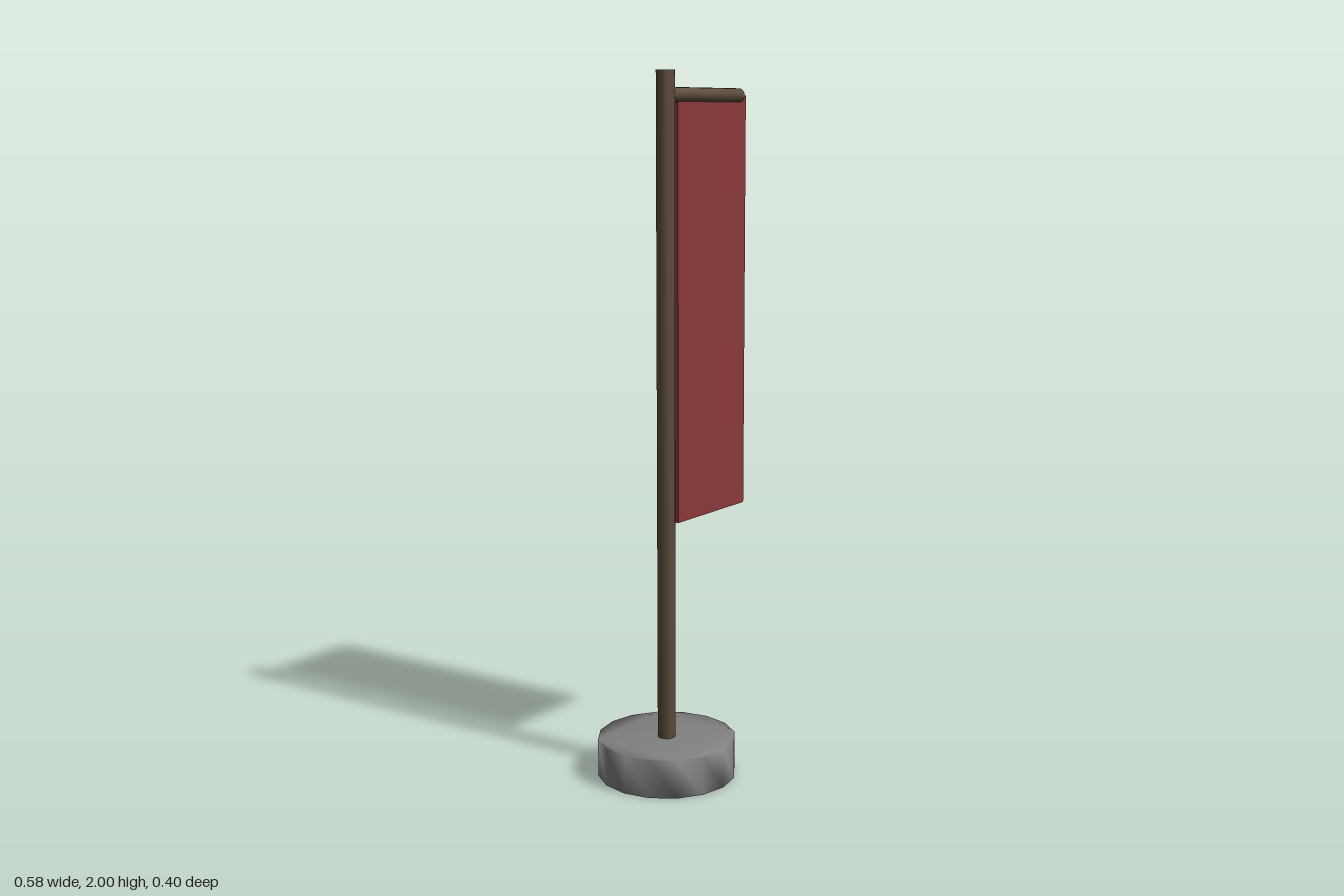
import * as THREE from 'three';
import { mergeVertices } from 'three/addons/utils/BufferGeometryUtils.js';

const POLE_X = -0.09;

// Solid round bar along +y whose normals blend over the rims
function softBar(radius, length, sides) {
  const points = [];
  for (let i = 0; i < sides; i++) {
    const a = (i / sides) * Math.PI * 2;
    points.push(new THREE.Vector2(radius * Math.cos(a), radius * Math.sin(a)));
  }
  let geometry = new THREE.ExtrudeGeometry(new THREE.Shape(points), { depth: length, bevelEnabled: false });
  geometry.rotateX(-Math.PI / 2);
  geometry.deleteAttribute('normal');
  geometry.deleteAttribute('uv');
  geometry = mergeVertices(geometry, 1e-5);
  geometry.computeVertexNormals();
  return geometry;
}

export function createModel() {
  const model = new THREE.Group();
  model.name = 'bannerStand';

  const stone = new THREE.MeshStandardMaterial({ color: 0x808080 });
  const wood = new THREE.MeshStandardMaterial({ color: 0x5a4a3a });
  const cloth = new THREE.MeshStandardMaterial({ color: 0x8b3a3a });

  const add = (name, geometry, material, x, y) => {
    const mesh = new THREE.Mesh(geometry, material);
    mesh.name = name;
    mesh.position.set(x, y, 0);
    model.add(mesh);
    return mesh;
  };

  // Heavy round foot
  add('base', softBar(0.2, 0.11, 16), stone, POLE_X, 0);

  // Upright pole through the foot
  add('pole', softBar(0.026, 2, 16), wood, POLE_X, 0);

  // Short arm at the top, pointing to +x
  const arm = add('crossArm', softBar(0.02, 0.353, 16), wood, POLE_X, 1.935);
  arm.rotation.z = -Math.PI / 2;

  // Hanging cloth
  add('banner', new THREE.BoxGeometry(0.33, 1.2, 0.012), cloth, 0.125, 1.335);

  return model;
}
